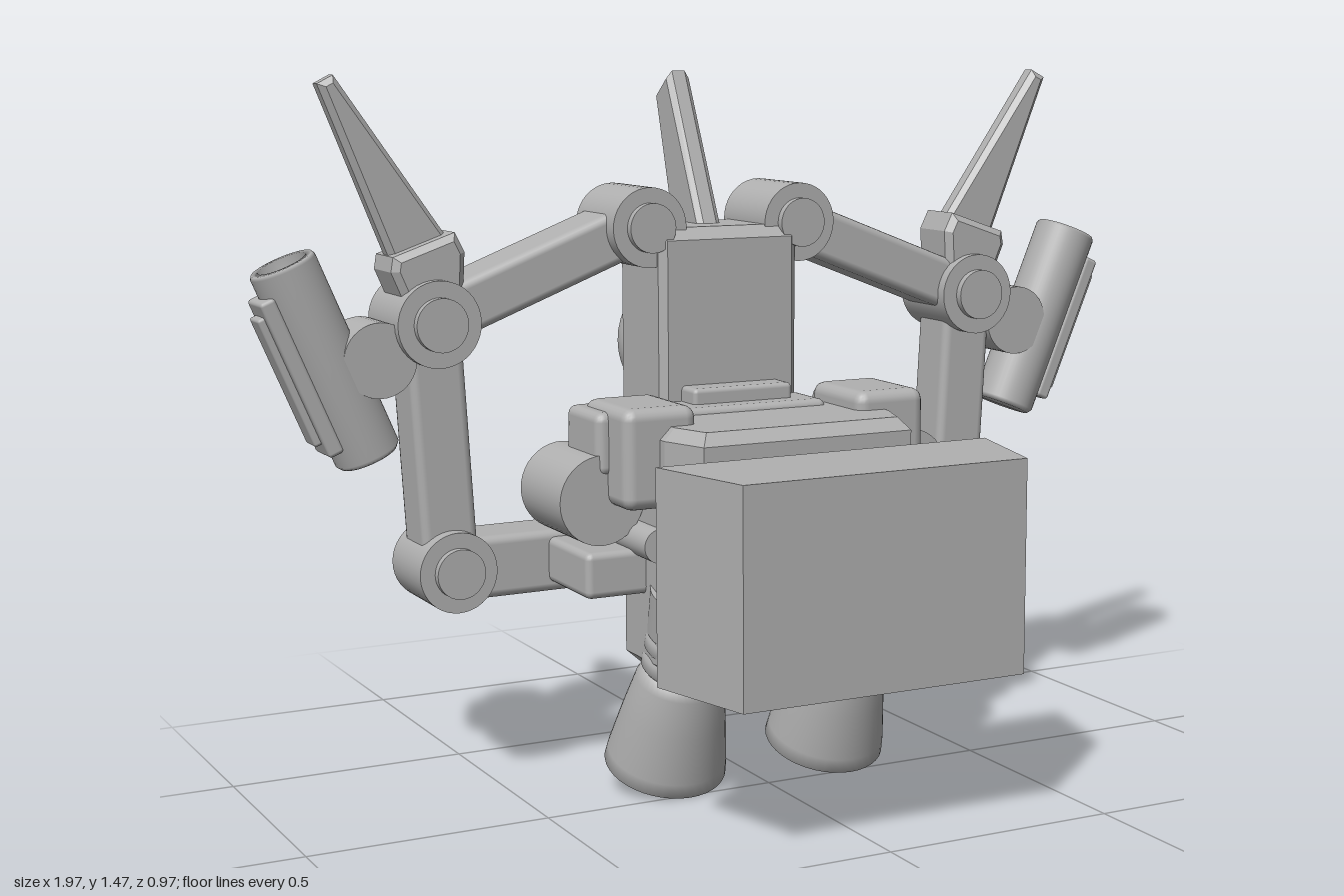
import * as THREE from 'three';
import { RoundedBoxGeometry } from 'three/addons/geometries/RoundedBoxGeometry.js';

const grey = new THREE.MeshStandardMaterial({ color: 0xb0b0b0, side: THREE.DoubleSide });
grey.name = 'plain grey';

function add(parent, name, geometry, x = 0, y = 0, z = 0) {
  const mesh = new THREE.Mesh(geometry, grey);
  mesh.name = name;
  mesh.position.set(x, y, z);
  parent.add(mesh);
  return mesh;
}

// Box given by its limits, with softened edges
function block(parent, name, [x0, x1], [y0, y1], [z0, z1], r = 0.015) {
  const g = new RoundedBoxGeometry(Math.abs(x1 - x0), y1 - y0, z1 - z0, 2, r);
  return add(parent, name, g, (x0 + x1) / 2, (y0 + y1) / 2, (z0 + z1) / 2);
}

// Cylinder along z between two depths
function disc(parent, name, x, y, r, z0, z1) {
  const g = new THREE.CylinderGeometry(r, r, z1 - z0, 40).rotateX(Math.PI / 2);
  return add(parent, name, g, x, y, (z0 + z1) / 2);
}

// Bevelled slab; the outline is the outer limit, depth runs from 0 to d
function slab(points, d, b) {
  const shape = new THREE.Shape(points.map(([x, y]) => new THREE.Vector2(x, y)));
  const g = new THREE.ExtrudeGeometry(shape, {
    depth: d - 2 * b, bevelEnabled: b > 0, bevelSize: b, bevelOffset: -b, bevelThickness: b, bevelSegments: 1,
  });
  return g.translate(0, 0, b);
}

// Bevelled bar in the xy plane between two points
function bar(parent, name, [ax, ay], [bx, by], width, z0, z1) {
  const g = new RoundedBoxGeometry(Math.hypot(bx - ax, by - ay), width, z1 - z0, 2, 0.018);
  const m = add(parent, name, g, (ax + bx) / 2, (ay + by) / 2, (z0 + z1) / 2);
  m.rotation.z = Math.atan2(by - ay, bx - ax);
  return m;
}

// Round joint with a smaller cap on both faces
function joint(parent, name, x, y, r, z0, z1) {
  disc(parent, name, x, y, r, z0, z1);
  disc(parent, name + 'Cap', x, y, r * 0.62, z0 - 0.017, z1 + 0.017);
}

function lathe(points) {
  return new THREE.LatheGeometry(points.map(([r, y]) => new THREE.Vector2(r, y)), 40);
}

function buildNozzle(parent, s) {
  const nozzle = new THREE.Group();
  nozzle.name = 'thruster';
  nozzle.position.set(s * 0.19, 0.05, -0.105);
  nozzle.rotation.x = 0.358;
  parent.add(nozzle);
  // Hollow bell
  add(nozzle, 'thrusterBell', lathe([
    [0.001, 0.2], [0.065, 0.2], [0.095, 0.11], [0.116, 0], [0.128, 0],
    [0.125, 0.03], [0.108, 0.13], [0.092, 0.21], [0.08, 0.235], [0.05, 0.24],
  ]));
  // Ribbed neck
  for (const y of [0.255, 0.3]) {
    add(nozzle, 'thrusterRing', lathe([
      [0.05, y - 0.025], [0.075, y - 0.025], [0.086, y - 0.012], [0.086, y + 0.012], [0.075, y + 0.024], [0.05, y + 0.024],
    ]));
  }
  add(nozzle, 'thrusterSocket', new THREE.CylinderGeometry(0.092, 0.084, 0.1, 40), 0, 0.37, 0);
}

function buildGun(parent, s) {
  const gun = new THREE.Group();
  gun.name = 'sideCannon';
  gun.position.set(s * 0.842, 0.915, -0.285);
  gun.rotation.z = -s * 0.4;
  parent.add(gun);
  // Barrel with an open bore at the top
  add(gun, 'cannonBarrel', lathe([
    [0.001, -0.215], [0.06, -0.215], [0.068, -0.205], [0.068, 0.208], [0.064, 0.215],
    [0.05, 0.215], [0.05, 0.1], [0.001, 0.1],
  ]));
  const a = s * 0.05, b = s * 0.083, c = s * 0.097;
  block(gun, 'cannonRail', [a, b], [-0.17, 0.17], [-0.047, 0.047], 0.008);
  block(gun, 'cannonRailPlate', [a, c], [-0.14, 0.14], [-0.03, 0.03], 0.006);
}

function buildSide(parent, s) {
  const shoulder = [s * 0.175, 1.162], elbow = [s * 0.632, 0.985], wrist = [s * 0.603, 0.478];

  // Jointed arm
  joint(parent, 'shoulderJoint', ...shoulder, 0.083, -0.38, -0.19);
  bar(parent, 'upperArm', shoulder, elbow, 0.108, -0.365, -0.225);
  joint(parent, 'elbowJoint', ...elbow, 0.088, -0.38, -0.2);
  bar(parent, 'forearm', elbow, wrist, 0.118, -0.35, -0.23);
  joint(parent, 'lowerJoint', ...wrist, 0.083, -0.367, -0.2);
  bar(parent, 'lowerArm', [s * 0.14, 0.48], wrist, 0.13, -0.355, -0.215);
  block(parent, 'armMount', [s * 0.1, s * 0.4], [0.435, 0.53], [-0.26, -0.02]);

  // Blade and its socket on the elbow
  add(parent, 'bladeSocket', slab([
    [s * 0.69, 1.02], [s * 0.57, 1.03], [s * 0.565, 1.125], [s * 0.585, 1.165], [s * 0.715, 1.12], [s * 0.72, 1.09],
  ], 0.13, 0.014), 0, 0, -0.35);
  add(parent, 'blade', slab([
    [s * 0.7, 1.09], [s * 0.572, 1.13], [s * 0.815, 1.477], [s * 0.848, 1.46],
  ], 0.05, 0.012), 0, 0, -0.31);

  // Cannon with its pivot
  disc(parent, 'cannonPivot', s * 0.75, 0.918, 0.076, -0.35, -0.22);
  buildGun(parent, s);

  // Shoulder pad, side drum and peg
  block(parent, 'shoulderPad', [s * 0.185, s * 0.345], [0.62, 0.825], [-0.16, 0.05], 0.025);
  block(parent, 'padBack', [s * 0.2, s * 0.37], [0.68, 0.81], [-0.19, -0.03], 0.02);
  disc(parent, 'sideDrum', s * 0.358, 0.633, 0.092, -0.24, -0.035);
  disc(parent, 'drumPeg', s * 0.27, 0.547, 0.035, -0.1, 0.05);

  buildNozzle(parent, s);
}

export function createModel() {
  const model = new THREE.Group();
  model.name = 'backpackRig';

  // Front plate: wedge that narrows forward
  const wedge = slab([[-0.37, -0.24], [0.37, -0.24], [0.31, -0.485], [-0.31, -0.485]], 0.43, 0);
  add(model, 'frontBlock', wedge.rotateX(-Math.PI / 2), 0, 0.315, 0);

  // Main body, narrower at the front
  const body = slab([
    [-0.27, 0.12], [0.27, 0.12], [0.27, -0.07], [0.235, -0.175], [-0.235, -0.175], [-0.27, -0.07],
  ], 0.515, 0.025);
  add(model, 'body', body.rotateX(-Math.PI / 2), 0, 0.272, 0);
  block(model, 'bodyTopPanel', [-0.17, 0.17], [0.74, 0.8], [-0.19, -0.06]);
  block(model, 'bodyTopCatch', [-0.115, 0.115], [0.76, 0.832], [-0.18, -0.11], 0.01);
  block(model, 'spineLink', [-0.2, 0.2], [0.42, 0.77], [-0.24, -0.1]);

  // Tower with a chamfered foot, seen from the side then turned to face forward
  const tower = slab([
    [0.17, 1.135], [0.195, 1.16], [0.355, 1.16], [0.378, 1.135], [0.378, 0.54], [0.31, 0.43], [0.17, 0.43],
  ], 0.32, 0.015);
  add(model, 'tower', tower.rotateY(Math.PI / 2), -0.16, 0, 0);

  // Swept fin on the tower
  const fin = slab([[0.25, 1.13], [0.395, 1.13], [0.483, 1.428], [0.415, 1.478]], 0.054, 0.012);
  add(model, 'topFin', fin.rotateY(Math.PI / 2), -0.027, 0, 0);

  // Round hub on the back
  const hub = new THREE.Group();
  hub.name = 'backHub';
  hub.position.set(0, 0.903, -0.37);
  hub.rotation.x = -Math.PI / 2;
  model.add(hub);
  add(hub, 'hubRim', lathe([
    [0.14, 0], [0.149, 0.02], [0.149, 0.045], [0.138, 0.06], [0.118, 0.06], [0.108, 0.045], [0.001, 0.045],
  ]));
  add(hub, 'hubCore', lathe([[0.092, 0.03], [0.092, 0.075], [0.08, 0.075], [0.08, 0.1], [0.072, 0.103], [0.001, 0.103]]));
  for (let i = 0; i < 8; i++) {
    const a = (i + 0.5) * Math.PI / 4;
    add(hub, 'hubBolt', new THREE.CylinderGeometry(0.012, 0.012, 0.05, 12), 0.086 * Math.cos(a), 0.062, 0.086 * Math.sin(a));
  }

  // Vent frame with slats
  const hole = new THREE.Path([[-0.065, 0.6], [-0.065, 0.68], [0.065, 0.68], [0.065, 0.6]].map(p => new THREE.Vector2(...p)));
  const frame = new THREE.Shape([[-0.09, 0.572], [0.09, 0.572], [0.09, 0.706], [-0.09, 0.706]].map(p => new THREE.Vector2(...p)));
  frame.holes.push(hole);
  add(model, 'ventFrame', new THREE.ExtrudeGeometry(frame, { depth: 0.035, bevelEnabled: false }), 0, 0, -0.407);
  for (let i = 0; i < 4; i++) {
    const slat = add(model, 'ventSlat', new THREE.BoxGeometry(0.13, 0.008, 0.026), 0, 0.61 + i * 0.02, -0.388);
    slat.rotation.x = 0.35;
  }

  for (const s of [-1, 1]) buildSide(model, s);
  return model;
}
